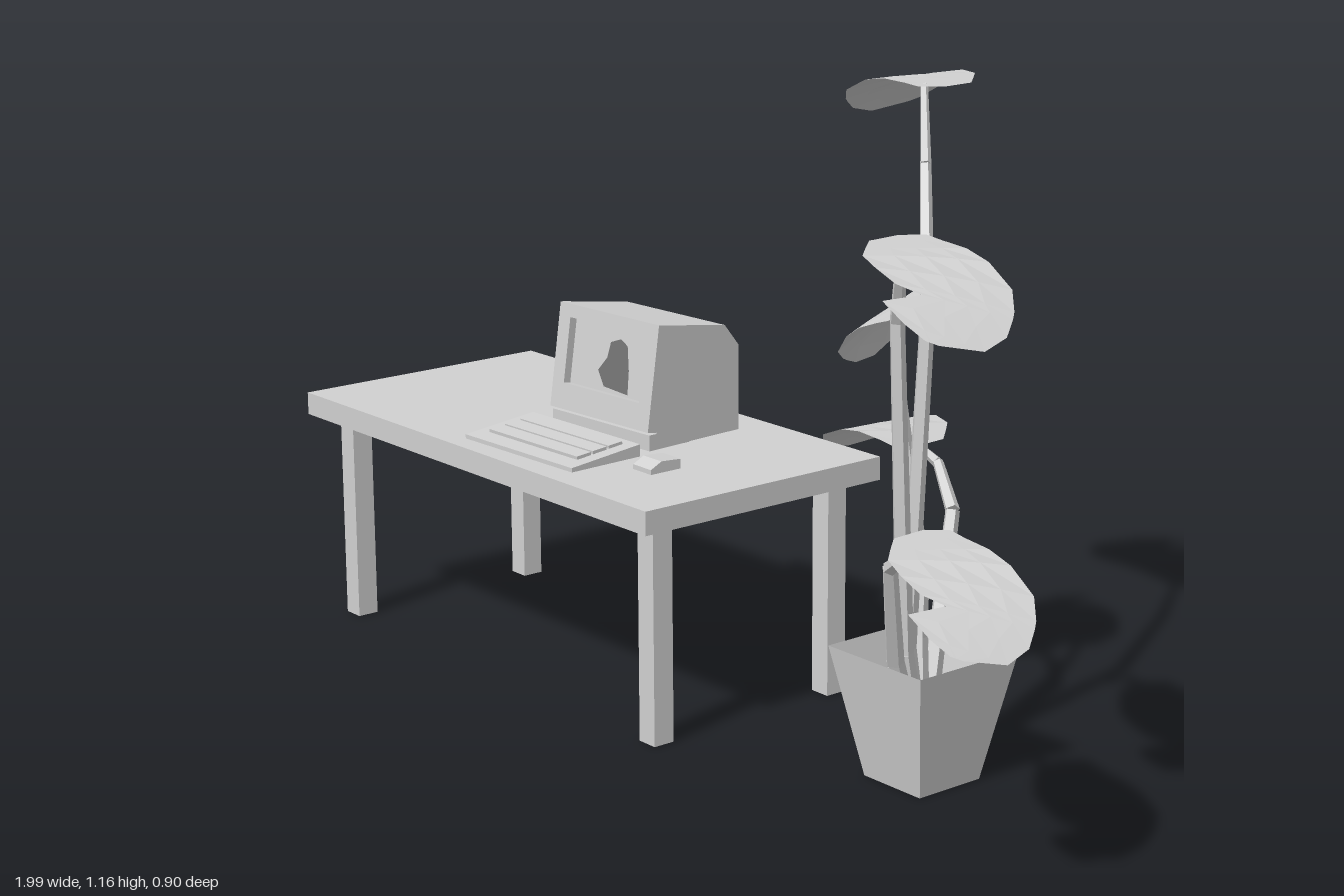
import * as THREE from 'three';

const grey = new THREE.MeshStandardMaterial({ color: 0xd0d0d0 });
grey.name = 'light grey';
const sheet = grey; // open pot and leaf surfaces share the light grey
sheet.side = THREE.DoubleSide;
const dark = new THREE.MeshStandardMaterial({ color: 0x727272 });
dark.name = 'dark grey';

function add(parent, name, geometry, x = 0, y = 0, z = 0, material = grey) {
  const mesh = new THREE.Mesh(geometry, material);
  mesh.name = name;
  mesh.position.set(x, y, z);
  parent.add(mesh);
  return mesh;
}

function group(parent, name, x = 0, y = 0, z = 0) {
  const g = new THREE.Group();
  g.name = name;
  g.position.set(x, y, z);
  parent.add(g);
  return g;
}

const box = (w, h, d) => new THREE.BoxGeometry(w, h, d);
const shapeOf = (pts) => new THREE.Shape(pts.map(([x, y]) => new THREE.Vector2(x, y)));

function flat(geometry) {
  const g = geometry.index ? geometry.toNonIndexed() : geometry;
  g.computeVertexNormals();
  return g;
}

// Extrudes a side profile of [z, y] points across x, centred on x = 0
function sideExtrude(profile, width) {
  const g = new THREE.ExtrudeGeometry(shapeOf(profile), { depth: width, bevelEnabled: false });
  return g.rotateY(-Math.PI / 2).translate(width / 2, 0, 0);
}

// Curled leaf, stations are [distance along, right edge, left edge]; the dip is a slit near the tip
const stations = [
  [0, -0.03, 0.015], [0.045, -0.08, 0.035], [0.105, -0.09, 0.068], [0.16, -0.098, 0.097],
  [0.23, -0.083, 0.126], [0.28, -0.056, 0.124], [0.297, -0.018, 0.12], [0.335, -0.08, 0.107],
  [0.375, -0.05, 0.07], [0.395, -0.02, 0.0],
];
function leafGeometry() {
  const positions = [], index = [], cols = 5;
  stations.forEach(([s, a, b], i) => {
    for (let j = 0; j < cols; j++) {
      const t = a + (b - a) * j / (cols - 1);
      const drop = 1.15 * Math.max(0, s + 0.6 * t - 0.12) ** 2;
      positions.push(s, -drop, -t);
      if (i && j) {
        const p = i * cols + j, q = p - cols;
        index.push(q - 1, p - 1, p, q - 1, p, q);
      }
    }
  });
  const g = new THREE.BufferGeometry();
  g.setAttribute('position', new THREE.Float32BufferAttribute(positions, 3));
  g.setIndex(index);
  return flat(g);
}

// Jointed stem, tapering from the pot to the leaf
function addStem(parent, points, r0, r1) {
  const stem = group(parent, 'stem');
  const pts = points.map((p) => new THREE.Vector3(...p));
  const n = pts.length - 1;
  const radius = (i) => r0 + (r1 - r0) * i / n;
  for (let i = 0; i < n; i++) {
    const dir = pts[i + 1].clone().sub(pts[i]);
    const g = flat(new THREE.CylinderGeometry(radius(i + 1), radius(i), dir.length(), 5));
    const mid = pts[i].clone().add(pts[i + 1]).multiplyScalar(0.5);
    const m = add(stem, 'stemSegment', g, mid.x, mid.y, mid.z);
    m.quaternion.setFromUnitVectors(new THREE.Vector3(0, 1, 0), dir.normalize());
  }
}

function addTable(parent) {
  const table = group(parent, 'table');
  add(table, 'tableTop', box(1.08, 0.044, 0.545), -0.46, 0.432, 0.057);
  for (const x of [-0.936, 0.017]) {
    for (const z of [0.26, -0.148]) add(table, 'tableLeg', box(0.043, 0.41, 0.043), x, 0.205, z);
  }
}

function addComputer(parent) {
  const monitor = group(parent, 'monitor', -0.36, 0, 0);
  monitor.rotation.y = 0.06;
  // Casing with a sloping top and chamfered back
  add(monitor, 'casing', sideExtrude([
    [0.082, 0.456], [0.047, 0.685], [-0.095, 0.663], [-0.13, 0.62], [-0.13, 0.456],
  ], 0.275));
  add(monitor, 'base', box(0.275, 0.03, 0.1), 0, 0.47, 0.045);

  // Tilted frame around the recessed screen
  const front = group(monitor, 'screenFrame', 0, 0.59, 0.085);
  front.rotation.x = -0.15;
  const frame = shapeOf([[-0.139, -0.1], [0.139, -0.1], [0.139, 0.1], [-0.139, 0.1]]);
  frame.holes.push(new THREE.Path([[-0.107, -0.05], [-0.107, 0.075], [0.107, 0.075], [0.107, -0.05]]
    .map(([x, y]) => new THREE.Vector2(x, y))));
  add(front, 'frame', new THREE.ExtrudeGeometry(frame, { depth: 0.025, bevelEnabled: false }), 0, 0, -0.025);
  add(front, 'screen', box(0.214, 0.125, 0.006), 0, 0.0125, -0.019);
  // Dark patch shown on the screen
  add(front, 'screenPatch', new THREE.ShapeGeometry(shapeOf([
    [-0.04, -0.012], [-0.02, -0.04], [0.048, -0.045], [0.045, 0.0], [0.035, 0.045],
    [0.015, 0.055], [-0.012, 0.045], [-0.018, 0.015],
  ])), 0.01, 0, -0.014, dark);

  // Wedge keyboard with rows of keys
  const keyboard = group(parent, 'keyboard', -0.356, 0, 0.206);
  keyboard.rotation.y = 0.035;
  add(keyboard, 'keyboardBody', sideExtrude([
    [0.08, 0.455], [0.08, 0.463], [-0.08, 0.478], [-0.08, 0.455],
  ], 0.315));
  for (let row = 0; row < 3; row++) {
    const z = -0.045 + row * 0.037;
    add(keyboard, 'keyRow', box(0.26, 0.012, 0.032), 0, 0.4745 - (z + 0.045) * 0.09, z).rotation.x = 0.09;
  }

  add(parent, 'mouse', sideExtrude([
    [0.034, 0.454], [0.034, 0.463], [0.01, 0.475], [-0.034, 0.472], [-0.034, 0.454],
  ], 0.052), -0.12, 0, 0.146);
}

function addPlant(parent) {
  const plant = group(parent, 'pottedPlant');
  // Square open pot
  const wall = new THREE.CylinderGeometry(0.115 * Math.SQRT2, 0.07 * Math.SQRT2, 0.235, 4, 1, true);
  add(plant, 'pot', flat(wall.rotateY(Math.PI / 4)), 0.448, 0.1175, 0.018, sheet);
  add(plant, 'potFloor', new THREE.PlaneGeometry(0.14, 0.14).rotateX(-Math.PI / 2), 0.448, 0.001, 0.018, sheet);

  // Each stem's joints, then its leaf: origin, yaw, pitch, roll, scale
  const root = [0.445, 0.01, 0.02];
  const back = Math.PI - 0.67, ahead = -0.67;
  const branches = [
    { stem: [root, [0.43, 0.235, 0.04], [0.437, 0.81, 0.01], [0.315, 1.04, -0.097], [0.2, 1.152, -0.2]],
      leaf: [0.235, 1.156, -0.175], turn: [0, back, 0], size: 1 },
    { stem: [root, [0.445, 0.235, 0.06], [0.455, 0.82, 0.095], [0.5, 0.925, 0.13], [0.6, 0.982, 0.205]],
      leaf: [0.565, 0.99, 0.155], turn: [0, ahead, 0], size: 1 },
    { stem: [root, [0.4, 0.235, -0.015], [0.385, 0.35, -0.035], [0.345, 0.64, -0.02], [0.28, 0.77, -0.065]],
      leaf: [0.285, 0.775, -0.06], turn: [-0.5, back, -0.1], size: 0.95 },
    { stem: [root, [0.47, 0.235, 0.105], [0.52, 0.425, 0.165], [0.585, 0.465, 0.195], [0.69, 0.522, 0.24]],
      leaf: [0.66, 0.528, 0.185], turn: [0, ahead, 0], size: 0.98 },
    { stem: [root, [0.405, 0.235, -0.055], [0.355, 0.43, -0.135], [0.27, 0.49, -0.18], [0.17, 0.505, -0.21]],
      leaf: [0.2, 0.51, -0.155], turn: [0, back, 0], size: 1 },
  ];
  const geometry = leafGeometry();
  for (const { stem, leaf, turn, size } of branches) {
    addStem(plant, stem, 0.02, 0.007);
    const blade = add(plant, 'leaf', geometry, ...leaf, sheet);
    blade.rotation.set(...turn, 'YZX');
    blade.scale.setScalar(size);
  }
}

export function createModel() {
  const model = new THREE.Group();
  model.name = 'deskAndPlant';
  addTable(model);
  addComputer(model);
  addPlant(model);
  return model;
}
